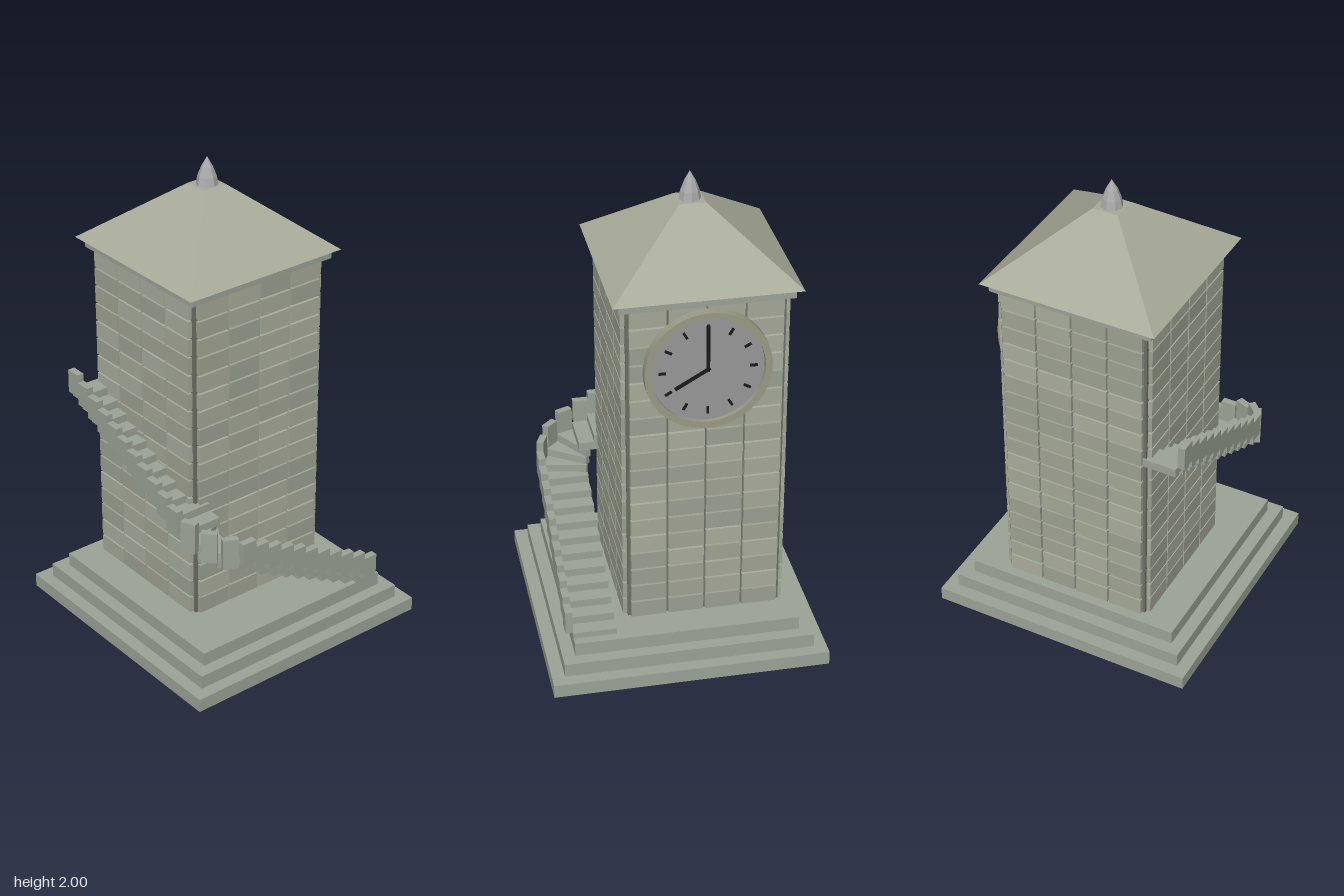
import * as THREE from 'three';
import { toCreasedNormals } from 'three/addons/utils/BufferGeometryUtils.js';

const mat = (color, extra = {}) => new THREE.MeshStandardMaterial({ color, ...extra });

const stone = mat(0x9ca497);
const joint = mat(0x6d7066);
const shades = [0xa5a998, 0xa0a493, 0xa9ad9d, 0x9da293].map((c) => mat(c));
const roofMat = mat(0xa8ab99, { flatShading: true });
const finialMat = mat(0xaaaaaa, { flatShading: true });
const dialMat = mat(0x999999);
const rimMat = mat(0x9a9c86);
const black = mat(0x1a1a1a);

function add(parent, name, geometry, material, x = 0, y = 0, z = 0) {
  const mesh = new THREE.Mesh(geometry, material);
  mesh.name = name;
  mesh.position.set(x, y, z);
  parent.add(mesh);
  return mesh;
}

function group(parent, name, x = 0, y = 0, z = 0) {
  const g = new THREE.Group();
  g.name = name;
  g.position.set(x, y, z);
  parent.add(g);
  return g;
}

const box = (w, h, d) => new THREE.BoxGeometry(w, h, d);

// Three stepped plinth slabs
function buildBase(root) {
  const base = group(root, 'base');
  [0.57, 0.517, 0.465].forEach((half, i) => {
    add(base, 'baseSlab', box(half * 2, 0.0583, half * 2), stone, 0, 0.0583 * (i + 0.5), 0);
  });
}

// Shaft: recessed core faced with a grid of stone blocks on four sides
function buildTower(root) {
  const bottom = 0.175, rows = 18, cols = 4, half = 0.333, gap = 0.008;
  const rowH = (1.59 - bottom) / rows, colW = 0.614 / cols, depth = 0.03;
  const tower = group(root, 'tower', -0.095, 0, 0);
  add(tower, 'core', box(0.63, 1.415, 0.63), joint, 0, bottom + 0.7075, 0);

  const blockGeo = box(colW - gap, rowH - gap, depth);
  let seed = 7;
  const random = () => (seed = (seed * 16807) % 2147483647) / 2147483647;
  for (let side = 0; side < 4; side++) {
    const wall = group(tower, 'wall');
    wall.rotation.y = (side * Math.PI) / 2;
    for (let r = 0; r < rows; r++) {
      for (let c = 0; c < cols; c++) {
        add(wall, 'wallBlock', blockGeo, shades[Math.floor(random() * 4)],
          (c - 1.5) * colW, bottom + (r + 0.5) * rowH, half - depth / 2);
      }
    }
  }

  // Eaves slab, truncated pyramid roof and pointed finial
  add(tower, 'eaves', box(0.692, 0.04, 0.692), stone, 0, 1.61, 0);
  const roofGeo = new THREE.CylinderGeometry(0.053 * Math.SQRT2, 0.373 * Math.SQRT2, 0.255, 4);
  add(tower, 'roof', roofGeo.rotateY(Math.PI / 4), roofMat, 0, 1.7575, 0);
  const profile = [[0.045, 1.885], [0.038, 1.92], [0.024, 1.957], [0, 2]];
  add(tower, 'finial',
    new THREE.LatheGeometry(profile.map(([x, y]) => new THREE.Vector2(x, y)), 8), finialMat);
  return tower;
}

// Clock on the back wall, built facing local +z
function buildClock(tower) {
  const clock = group(tower, 'clock', 0, 1.323, -0.333);
  clock.rotation.y = Math.PI;

  const ring = new THREE.Shape().absarc(0, 0, 0.252, 0, Math.PI * 2);
  ring.holes.push(new THREE.Path().absarc(0, 0, 0.224, 0, Math.PI * 2, true));
  const ringGeo = new THREE.ExtrudeGeometry(ring, { depth: 0.04, bevelEnabled: false, curveSegments: 32 });
  add(clock, 'clockRim', toCreasedNormals(ringGeo, 0.6), rimMat);
  const dial = new THREE.CylinderGeometry(0.23, 0.23, 0.022, 48).rotateX(Math.PI / 2);
  add(clock, 'clockDial', dial, dialMat, 0, 0, 0.011);

  // A thin bar between two radii at a clock angle
  const bar = (name, hour, from, to, width) => {
    const g = box(width, to - from, 0.006).translate(0, (from + to) / 2, 0.025);
    add(clock, name, g, black).rotation.z = (-hour * Math.PI) / 6;
  };
  for (let h = 0; h < 12; h++) bar('hourMark', h, 0.165, 0.195, 0.01);
  bar('minuteHand', 0, -0.01, 0.19, 0.014);
  bar('hourHand', 8, -0.01, 0.15, 0.014);
}

// Staircase: right flight, three winders round the corner, front flight
function buildStairs(root) {
  const stairs = group(root, 'stairs');
  const run = 0.0648, rise = 0.0331, thick = 0.036, perFlight = 11, winders = 3;
  const px = 0.274, pz = 0.254;

  const treadGeo = box(0.18, thick, 0.086).translate(0.102, -thick / 2, 0.005);
  const railGeo = box(0.03, 0.1, run).translate(0.207, 0.05, 0);
  const postGeo = box(0.03, 0.133, run).translate(0.207, 0.034, 0);
  const wedge = new THREE.Shape([[0.012, -0.012], [0.195, -0.045], [0.195, 0.045], [0.012, 0.012]]
    .map(([x, y]) => new THREE.Vector2(x, y)));
  const wedgeGeo = new THREE.ExtrudeGeometry(wedge, { depth: thick, bevelEnabled: false })
    .rotateX(-Math.PI / 2).translate(0, -thick, 0);

  // Local +x points away from the tower, local +z points up the stair
  for (let i = 0; i < perFlight * 2 + winders; i++) {
    const y = 0.2 + i * rise;
    const turn = Math.min(Math.max(i - perFlight + 1, 0), winders + 1);
    const step = group(stairs, 'step', px, y, pz);
    step.rotation.y = (-turn * Math.PI) / (2 * (winders + 1));
    if (turn === 0) step.position.z = -0.39 + i * run;
    if (turn > winders) step.position.x = 0.279 - (i - perFlight - winders) * run;
    const winder = turn > 0 && turn <= winders;
    add(step, winder ? 'winderTread' : 'tread', winder ? wedgeGeo : treadGeo, stone);
    add(step, 'parapetBlock', winder ? postGeo : railGeo, stone);
  }
}

export function createModel() {
  const root = new THREE.Group();
  root.name = 'clockTower';
  buildBase(root);
  buildClock(buildTower(root));
  buildStairs(root);
  return root;
}
